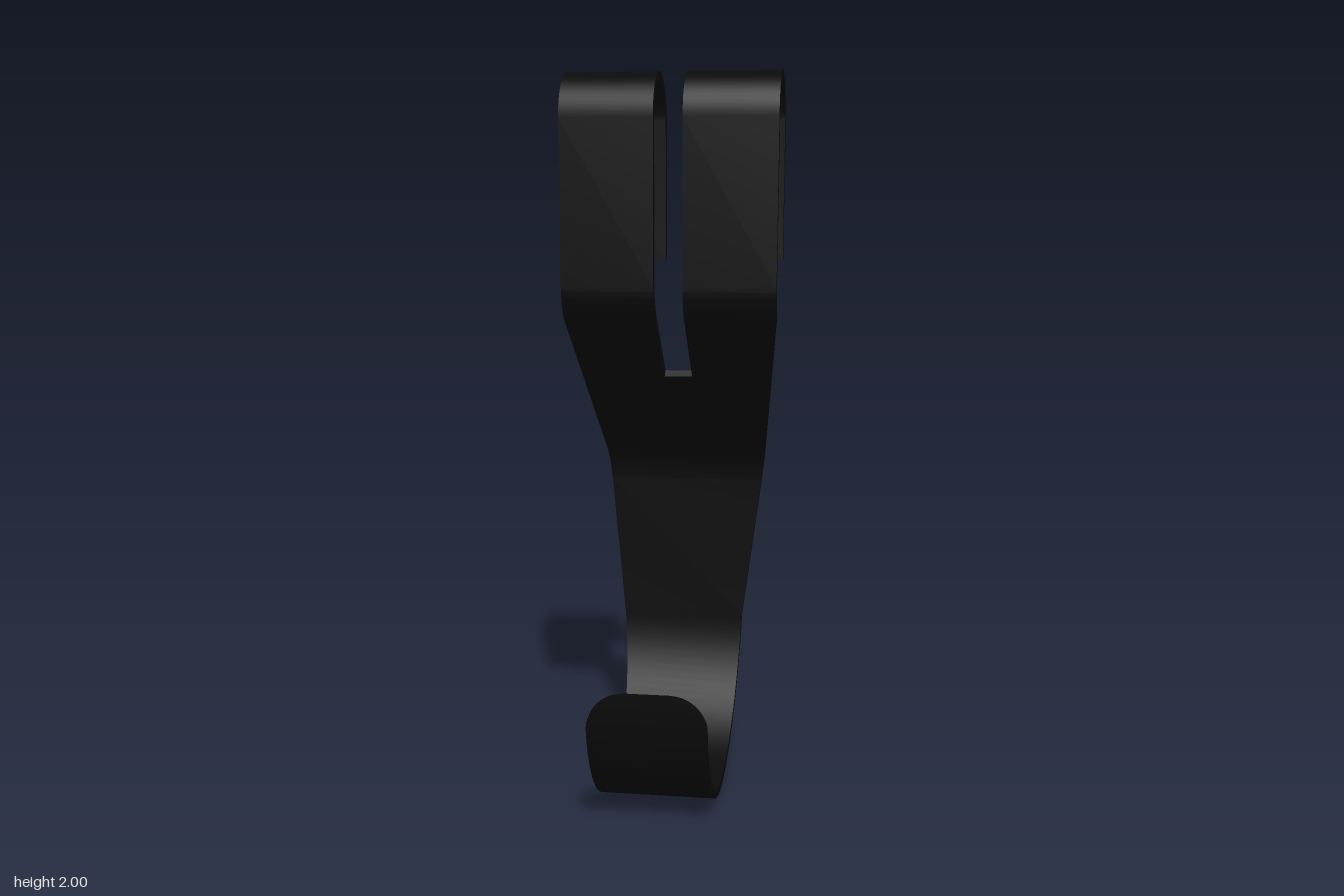
import * as THREE from 'three';
import { toCreasedNormals } from 'three/addons/utils/BufferGeometryUtils.js';

const THICK = 0.022;
const TIP_RADIUS = 0.1;
const SLOT = 0.039;

// strip edges by height: [height (negative on the front lip), -x edge, +x edge]
const EDGES = [
  [-0.4, -0.175, 0.142], [0, -0.18, 0.137], [0.4, -0.205, 0.157],
  [0.9, -0.25, 0.224], [1.35, -0.289, 0.287], [2, -0.291, 0.291],
];

function edgesAt(h) {
  let i = 0;
  while (i < EDGES.length - 2 && h > EDGES[i + 1][0]) i++;
  const [a, b] = [EDGES[i], EDGES[i + 1]];
  const t = THREE.MathUtils.clamp((h - a[0]) / (b[0] - a[0]), 0, 1);
  return [1, 2].map((k) => THREE.MathUtils.lerp(a[k], b[k], t));
}

// sweep a flat rectangular section along (z, y) points; span(p, s) gives its x limits
function strip(name, points, span, material) {
  const pos = [], index = [];
  const n = points.length;
  let s = 0;
  points.forEach((p, i) => {
    if (i > 0) s += p.distanceTo(points[i - 1]);
    const t = points[Math.min(i + 1, n - 1)].clone().sub(points[Math.max(i - 1, 0)]).normalize();
    const nz = -t.y * THICK / 2, ny = t.x * THICK / 2;
    const [x0, x1] = span(p, s);
    pos.push(x0, p.y + ny, p.x + nz, x1, p.y + ny, p.x + nz);
    pos.push(x1, p.y - ny, p.x - nz, x0, p.y - ny, p.x - nz);
    if (i === n - 1) return;
    for (let k = 0; k < 4; k++) {
      const a = i * 4 + k, b = i * 4 + (k + 1) % 4;
      index.push(a, a + 4, b + 4, a, b + 4, b);
    }
  });
  const e = (n - 1) * 4;
  index.push(0, 1, 2, 0, 2, 3, e, e + 2, e + 1, e, e + 3, e + 2);
  const geo = new THREE.BufferGeometry();
  geo.setAttribute('position', new THREE.Float32BufferAttribute(pos, 3));
  geo.setIndex(index);
  const mesh = new THREE.Mesh(toCreasedNormals(geo, 0.6), material);
  mesh.name = name;
  return mesh;
}

export function createModel() {
  const group = new THREE.Group();
  group.name = 'hangingHook';
  const material = new THREE.MeshStandardMaterial({ color: 0x0a0a0a });

  // lower hook: rounded lip, half circle, back, lower bend, slope up to the slot
  const R = 0.389;
  const lower = new THREE.Path();
  lower.moveTo(R, 0.4);
  lower.absarc(0, 0.4, R, 0, -0.27, true);
  lower.absarc(0, 0.4, R, -0.27, -Math.PI, true);
  lower.lineTo(-R, 0.82);
  lower.quadraticCurveTo(-R, 0.891, -R + 0.05, 0.941);
  lower.lineTo(-0.1, 1.18);
  group.add(strip('hookBody', lower.getPoints(24), (p, s) => {
    const [x0, x1] = edgesAt(p.x > 0 ? -p.y : p.y);
    const d = Math.max(0, TIP_RADIUS - s);
    const inset = TIP_RADIUS - Math.sqrt(TIP_RADIUS ** 2 - d * d);
    return [x0 + inset, x1 - inset];
  }, material));

  // two prongs: rest of the slope, upper bend, upright, top loop, short back leg
  const upper = new THREE.Path();
  upper.moveTo(-0.1, 1.18);
  upper.lineTo(0.065, 1.345);
  upper.quadraticCurveTo(0.101, 1.381, 0.101, 1.43);
  upper.lineTo(0.101, 1.875);
  upper.absarc(-0.013, 1.875, 0.114, 0, Math.PI, false);
  upper.lineTo(-0.127, 1.5);
  const points = upper.getPoints(16);
  group.add(strip('rightProng', points, (p) => [edgesAt(p.y)[0], -SLOT], material));
  group.add(strip('leftProng', points, (p) => [SLOT, edgesAt(p.y)[1]], material));

  return group;
}
